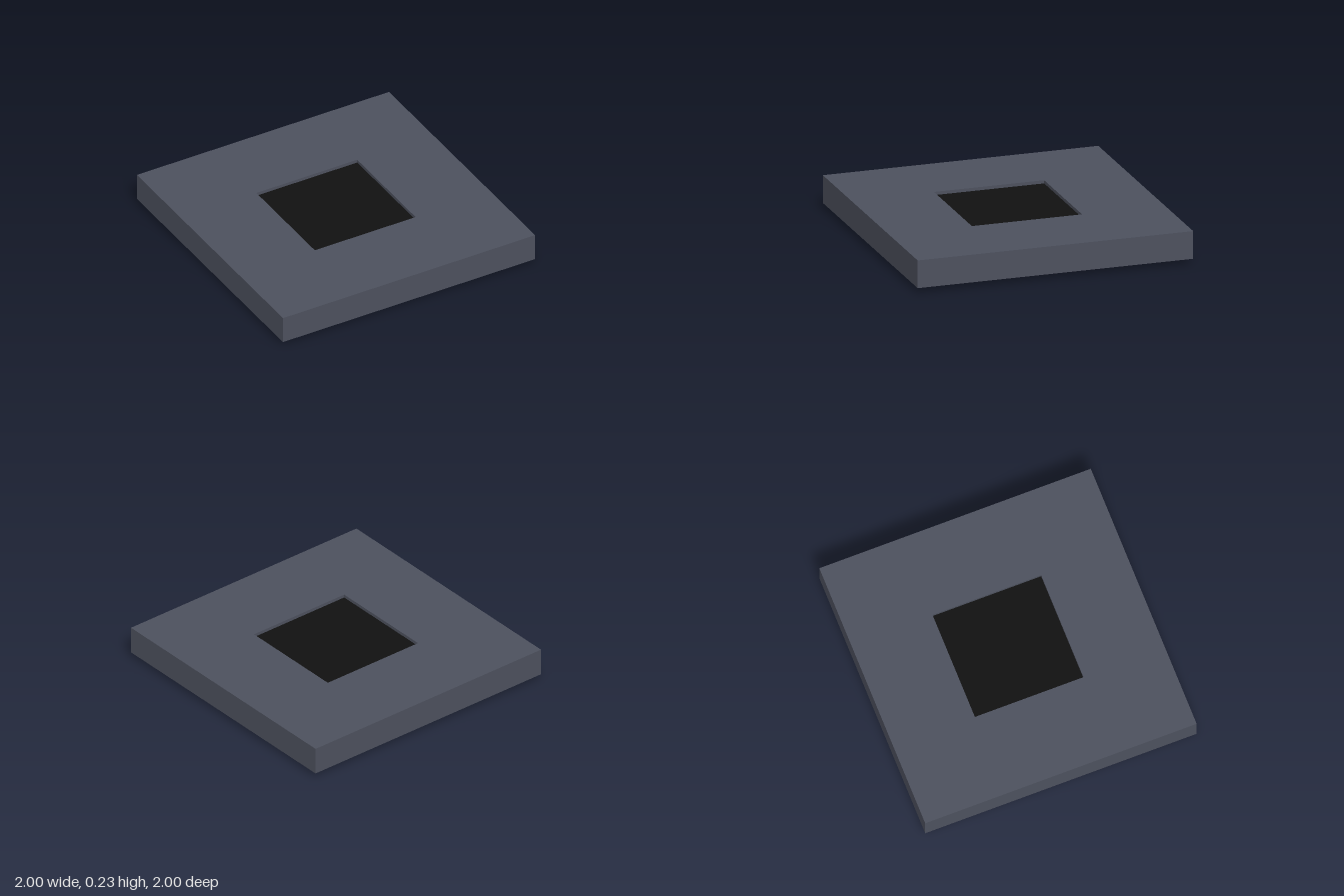
import * as THREE from 'three';

// Flat square ring, lying in the xz plane from y0 to y0 + height
function squareRing(outer, inner, y0, height) {
  const square = (path, r) => {
    path.moveTo(-r, -r);
    path.lineTo(r, -r);
    path.lineTo(r, r);
    path.lineTo(-r, r);
    path.closePath();
    return path;
  };
  const shape = square(new THREE.Shape(), outer);
  shape.holes.push(square(new THREE.Path(), inner));
  const geometry = new THREE.ExtrudeGeometry(shape, { depth: height, bevelEnabled: false });
  geometry.rotateX(-Math.PI / 2);
  geometry.translate(0, y0, 0);
  return geometry;
}

export function createModel() {
  const material = (name, color) => {
    const m = new THREE.MeshStandardMaterial({ color });
    m.name = name;
    return m;
  };
  const slate = material('slate', 0x4d515e);
  const steel = material('steel', 0x868c97);
  const black = material('black', 0x111111);

  const model = new THREE.Group();
  model.name = 'ceilingVent';
  const add = (name, geometry, mat, parent = model) => {
    const mesh = new THREE.Mesh(geometry, mat);
    mesh.name = name;
    parent.add(mesh);
    return mesh;
  };

  // Ceiling panel with a square shaft through it
  add('panel', squareRing(1, 0.4, 0.035, 0.2), slate);

  // Dark plate closing the shaft just below the top
  const plate = add('shaftPlate', new THREE.BoxGeometry(0.8, 0.01, 0.8), black);
  plate.position.y = 0.207;

  // Grille frame under the panel
  add('grilleFrame', squareRing(0.447, 0.385, 0, 0.036), steel);

  // Tilted louvres running across the grille
  const louvres = new THREE.Group();
  louvres.name = 'louvres';
  model.add(louvres);
  const slat = new THREE.BoxGeometry(0.77, 0.01, 0.045);
  for (let i = 0; i < 6; i++) {
    const mesh = add('louvre', slat, steel, louvres);
    mesh.position.set(0, 0.022, (i - 2.5) * 0.13);
    mesh.rotation.x = Math.PI / 4;
  }

  return model;
}
